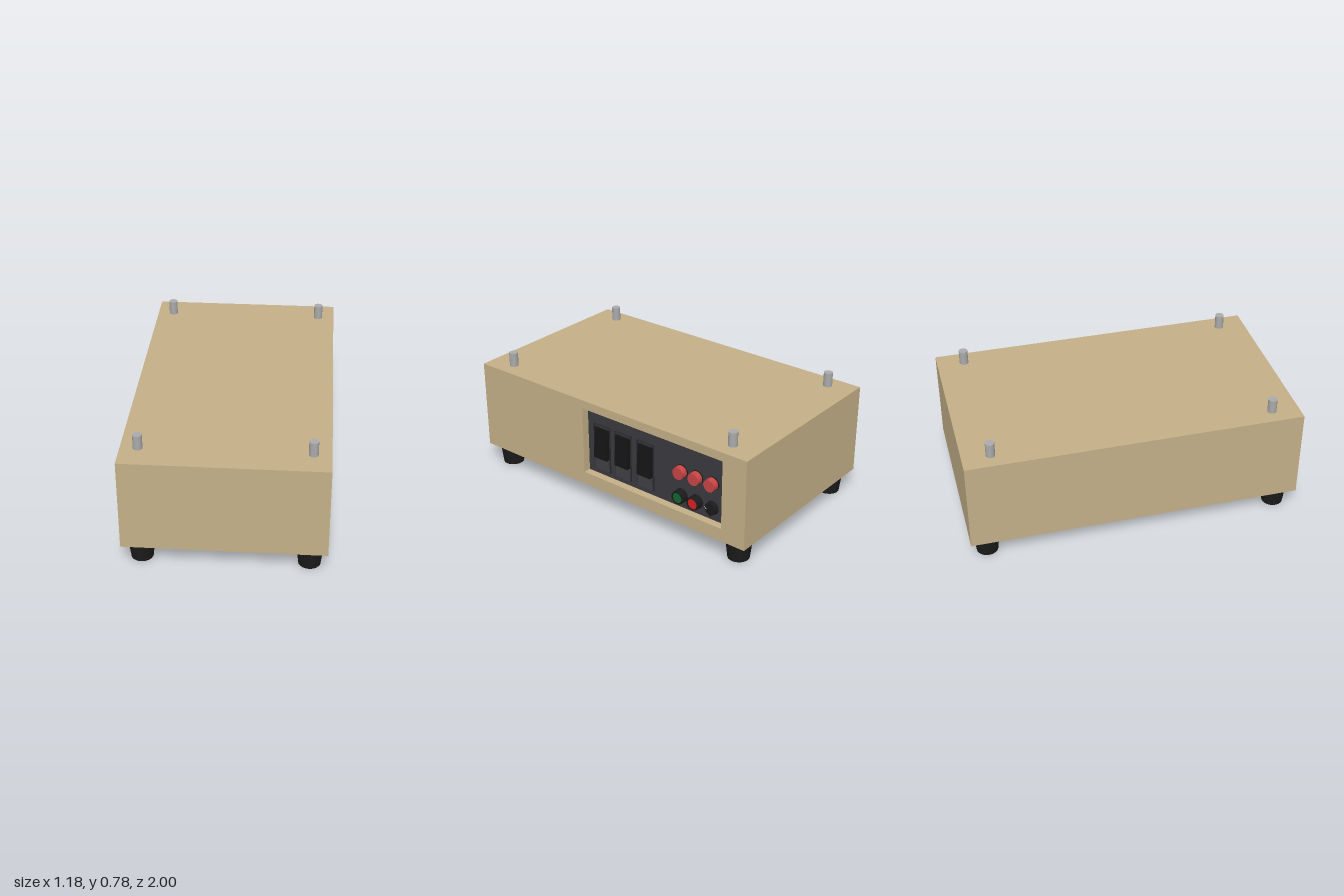
import * as THREE from 'three';

const mat = (color) => new THREE.MeshStandardMaterial({ color });

function add(parent, name, geometry, material, x = 0, y = 0, z = 0) {
  const mesh = new THREE.Mesh(geometry, material);
  mesh.name = name;
  mesh.position.set(x, y, z);
  parent.add(mesh);
  return mesh;
}

// Rectangle traced as a Shape or a hole Path
function rect(path, x0, y0, x1, y1) {
  path.moveTo(x0, y0);
  path.lineTo(x1, y0);
  path.lineTo(x1, y1);
  path.lineTo(x0, y1);
  path.closePath();
  return path;
}

// Flat frame: outer rectangle with a rectangular opening
function frame(outer, inner, depth) {
  const shape = rect(new THREE.Shape(), ...outer);
  shape.holes.push(rect(new THREE.Path(), ...inner));
  return new THREE.ExtrudeGeometry(shape, { depth, bevelEnabled: false });
}

// Cylinder whose axis points out of the panel
function disc(rBase, rFront, depth) {
  return new THREE.CylinderGeometry(rFront, rBase, depth, 32).rotateX(Math.PI / 2);
}

export function createModel() {
  const group = new THREE.Group();
  group.name = 'controlBox';

  const tan = mat(0xc4b088);
  const steel = mat(0xaaaaaa);
  const rubber = mat(0x1b1b1b);
  const charcoal = mat(0x3b393e);
  const black = mat(0x151515);
  const red = mat(0xc84444);
  const brightRed = mat(0xd42222);
  const green = mat(0x12662f);
  const pale = mat(0xcccccc);

  // Cabinet, with a side wall cut open around the control panel
  const back = -0.59, recess = 0.53, face = 0.577;
  add(group, 'cabinet', new THREE.BoxGeometry(recess - back, 0.56, 2), tan, (back + recess) / 2, 0.41, 0);

  // Side group: local x runs towards the rear, local z points outwards
  const side = new THREE.Group();
  side.name = 'controlSide';
  side.position.x = recess;
  side.rotation.y = Math.PI / 2;
  group.add(side);

  add(side, 'sideWall', frame([-1, 0.13, 1, 0.69], [-0.175, 0.21, 0.842, 0.637], face - recess), tan);
  add(side, 'controlPanel', new THREE.BoxGeometry(1.0, 0.413, 0.008), charcoal, 0.3335, 0.4235, 0.004);

  // Rocker breakers: bezel, sloping black rocker and lower cover
  const rockerShape = new THREE.Shape();
  rockerShape.moveTo(0, 0.332);
  rockerShape.lineTo(0.026, 0.332);
  rockerShape.lineTo(0.012, 0.527);
  rockerShape.lineTo(0, 0.527);
  rockerShape.closePath();
  const rockerGeo = new THREE.ExtrudeGeometry(rockerShape, { depth: 0.1, bevelEnabled: false })
    .rotateY(-Math.PI / 2).translate(0.05, 0, 0);
  const bezelGeo = frame([-0.062, 0.248, 0.062, 0.548], [-0.057, 0.253, 0.057, 0.543], 0.008);
  for (const x of [-0.056, 0.104, 0.273]) {
    const breaker = new THREE.Group();
    breaker.name = 'breaker';
    breaker.position.set(x, 0, 0.008);
    side.add(breaker);
    add(breaker, 'breakerBezel', bezelGeo, mat(0x2a292c));
    add(breaker, 'breakerRocker', rockerGeo, black);
    add(breaker, 'breakerCover', new THREE.BoxGeometry(0.108, 0.08, 0.012), mat(0x414045), 0, 0.292, 0.006);
  }

  // Top row: indicator lamps
  const columns = [0.537, 0.644, 0.754];
  for (const x of columns) {
    add(side, 'lampCollar', disc(0.042, 0.042, 0.008), rubber, x, 0.452, 0.011);
    add(side, 'indicatorLamp', disc(0.04, 0.037, 0.038), red, x, 0.452, 0.031);
  }

  // Bottom row: two push buttons and a rotary selector
  const ringGeo = new THREE.LatheGeometry(
    [[0.032, 0], [0.042, 0], [0.041, 0.038], [0.038, 0.046], [0.032, 0.046], [0.032, 0]]
      .map(([r, h]) => new THREE.Vector2(r, h)), 32).rotateX(Math.PI / 2);
  [green, brightRed].forEach((color, i) => {
    add(side, 'buttonRing', ringGeo, rubber, columns[i], 0.297, 0.008);
    add(side, 'pushButton', disc(0.0325, 0.0325, 0.043), color, columns[i], 0.297, 0.0285);
  });
  add(side, 'selectorBase', disc(0.042, 0.038, 0.026), rubber, columns[2], 0.297, 0.021);
  const knob = new THREE.Group();
  knob.name = 'selectorKnob';
  knob.position.set(columns[2], 0.297, 0.034);
  knob.rotation.z = Math.PI / 4;
  side.add(knob);
  add(knob, 'knobGrip', new THREE.BoxGeometry(0.018, 0.068, 0.022), black, 0, 0, 0.011);
  add(knob, 'knobPointer', new THREE.BoxGeometry(0.004, 0.022, 0.002), pale, 0, 0.021, 0.0225);

  // Tapered rubber feet and steel locating pins at the four corners
  const footGeo = new THREE.CylinderGeometry(0.079, 0.064, 0.13, 32);
  const pinGeo = new THREE.CylinderGeometry(0.027, 0.027, 0.087, 24);
  for (const sz of [-1, 1]) {
    for (const x of [-0.483, 0.474]) {
      add(group, 'foot', footGeo, rubber, x, 0.065, sz * 0.895);
    }
    for (const x of [-0.49, 0.475]) {
      add(group, 'locatingPin', pinGeo, steel, x, 0.7335, sz * 0.835);
    }
  }

  return group;
}
